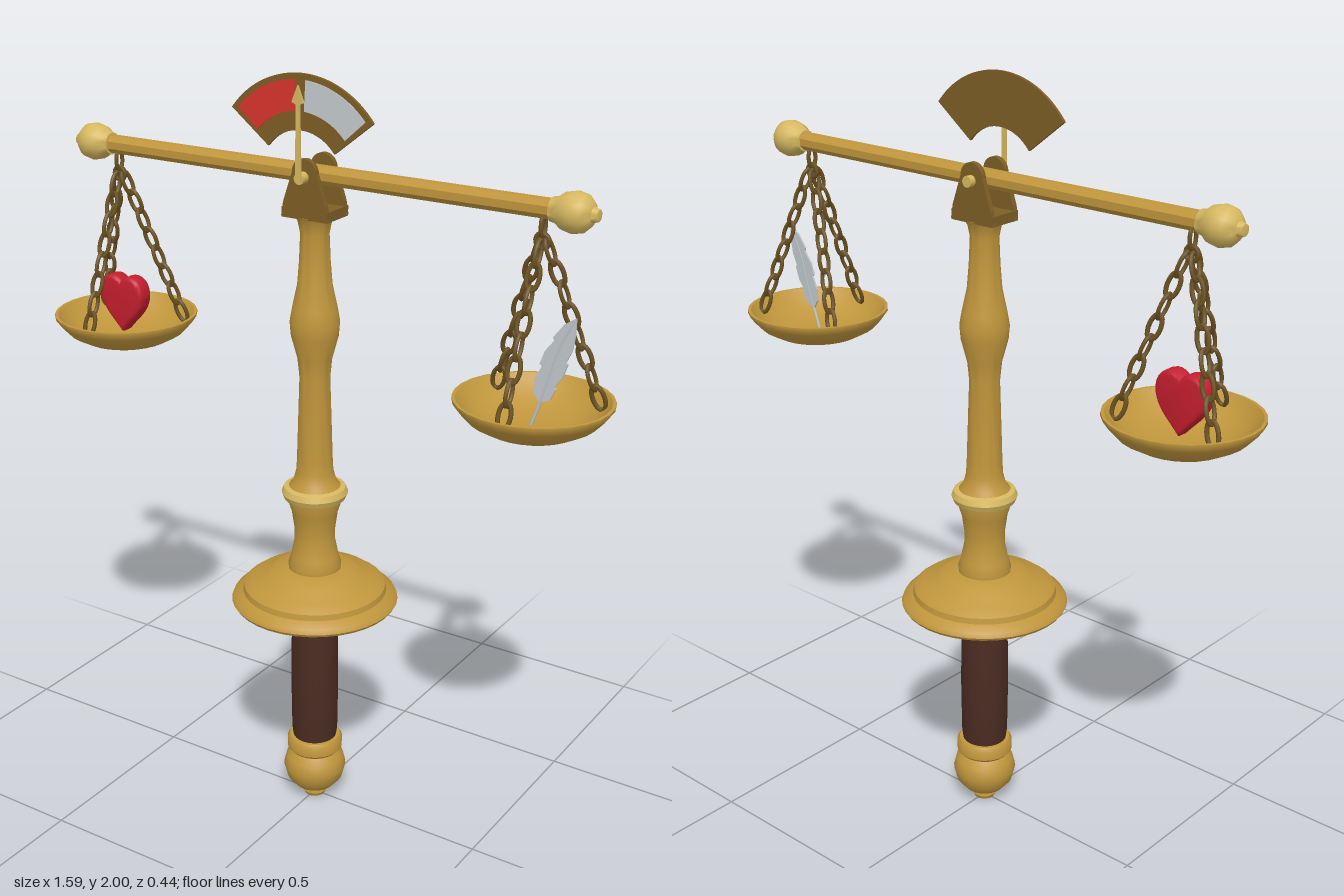
import * as THREE from 'three';
import { toCreasedNormals } from 'three/addons/utils/BufferGeometryUtils.js';

const mat = (name, color, extra = {}) => {
  const m = new THREE.MeshStandardMaterial({ color, ...extra });
  m.name = name;
  return m;
};

export function createModel() {
  const root = new THREE.Group();
  root.name = 'balanceScale';
  const gold = mat('gold', 0xc0963c);
  const paleGold = mat('pale gold', 0xd6b860);
  const bronze = mat('dark bronze', 0x7d5e25);
  const iron = mat('chain bronze', 0x6b5222);
  const leather = mat('dark leather', 0x4a2c22);
  const red = mat('dial red', 0xd8342c);
  const silver = mat('dial silver', 0xc4cace);
  const crimson = mat('heart crimson', 0xc41e2e);
  const plume = mat('feather grey', 0xc0c8cc, { side: THREE.DoubleSide });

  const add = (name, geo, material, parent = root, x = 0, y = 0, z = 0) => {
    const m = new THREE.Mesh(geo, material);
    m.name = name;
    m.position.set(x, y, z);
    parent.add(m);
    return m;
  };
  const lathe = (pts, seg = 28) => toCreasedNormals(
    new THREE.LatheGeometry(pts.map(([r, y]) => new THREE.Vector2(r, y)), seg), 0.65);
  const plate = (shape, depth) => new THREE.ExtrudeGeometry(
    shape, { depth, bevelEnabled: false, curveSegments: 20 });

  // Handle: pommel, collars and leather grip
  add('pommel', lathe([[0, 0.005], [0.028, 0.005], [0.033, 0.015], [0.03, 0.028], [0.055, 0.04],
    [0.076, 0.065], [0.085, 0.1], [0.078, 0.13], [0.06, 0.152], [0.05, 0.16]]), gold);
  const collar = [[0.05, -0.022], [0.068, -0.022], [0.075, -0.014], [0.075, 0.012], [0.068, 0.022], [0.05, 0.022]];
  add('lowerCollar', lathe(collar), gold, root, 0, 0.174);
  add('upperCollar', lathe(collar), gold, root, 0, 0.578);
  add('grip', lathe([[0.058, 0.19], [0.062, 0.22], [0.064, 0.37], [0.062, 0.53], [0.06, 0.56]]), leather);

  // Guard
  add('guard', lathe([[0.05, 0.595], [0.06, 0.612], [0.215, 0.612], [0.22, 0.62], [0.215, 0.631],
    [0.19, 0.645], [0.187, 0.66], [0.165, 0.676], [0.125, 0.69], [0.108, 0.704], [0.07, 0.71]], 36), gold);

  // Column with a pale ring
  add('column', lathe([[0.068, 0.7], [0.07, 0.72], [0.062, 0.745], [0.053, 0.79], [0.053, 0.82],
    [0.06, 0.87], [0.073, 0.91], [0.07, 0.94], [0.056, 0.955], [0.048, 0.985], [0.046, 1.02],
    [0.039, 1.24], [0.044, 1.29], [0.06, 1.35], [0.063, 1.385], [0.057, 1.42], [0.044, 1.48],
    [0.039, 1.54], [0.036, 1.61], [0.042, 1.64], [0.05, 1.655], [0, 1.655]]), gold);
  add('columnRing', lathe([[0.06, 0.905], [0.08, 0.91], [0.086, 0.925], [0.08, 0.94], [0.06, 0.945]]), paleGold);

  // Yoke that carries the beam
  const cheek = new THREE.Shape();
  cheek.moveTo(-0.066, 1.655);
  cheek.lineTo(0.066, 1.655);
  cheek.lineTo(0.06, 1.69);
  cheek.lineTo(0.034, 1.765);
  cheek.absarc(0, 1.765, 0.034, 0, Math.PI, false);
  cheek.lineTo(-0.06, 1.69);
  const yoke = new THREE.Group();
  yoke.name = 'yoke';
  root.add(yoke);
  add('yokeBase', new THREE.BoxGeometry(0.13, 0.025, 0.096), bronze, yoke, 0, 1.664);
  for (const z of [-0.048, 0.034]) add('yokeCheek', plate(cheek, 0.014), bronze, yoke, 0, 0, z);
  const axle = add('axle', new THREE.CylinderGeometry(0.014, 0.014, 0.135, 16), paleGold, yoke, 0, 1.755, 0.003);
  axle.rotation.x = Math.PI / 2;

  // Beam with turned end knobs
  const beam = add('beam', toCreasedNormals(new THREE.CylinderGeometry(0.024, 0.024, 1.3, 8), 0.3),
    gold, root, 0, 1.755);
  beam.rotation.set(Math.PI / 8, 0, Math.PI / 2);
  for (const s of [-1, 1]) {
    const knob = add('beamKnob', lathe([[0, -0.055], [0.028, -0.055], [0.03, -0.042], [0.042, -0.026], [0.048, 0],
      [0.043, 0.024], [0.028, 0.04], [0.018, 0.044], [0.014, 0.057], [0, 0.06]], 20), paleGold, root, s * 0.68, 1.755);
    knob.rotation.z = -s * Math.PI / 2;
  }

  // Dial: annular sector, two colour panels and needle
  const sector = (r0, r1, a0, a1) => {
    const s = new THREE.Shape();
    const t0 = Math.PI / 2 + a0, t1 = Math.PI / 2 + a1;
    s.absarc(0, 0, r1, t0, t1, false);
    s.absarc(0, 0, r0, t1, t0, true);
    return s;
  };
  const dial = new THREE.Group();
  dial.name = 'dial';
  dial.position.set(0, 1.75, 0.052);
  root.add(dial);
  add('dialPlate', plate(sector(0.118, 0.25, -0.91, 0.91), 0.008), bronze, dial);
  add('dialRedPanel', plate(sector(0.163, 0.236, 0.06, 0.85), 0.002), red, dial, 0, 0, 0.008);
  add('dialSilverPanel', plate(sector(0.163, 0.236, -0.85, -0.06), 0.002), silver, dial, 0, 0, 0.008);
  const needle = new THREE.Shape([[-0.008, 0], [0.008, 0], [0.005, 0.18], [0.017, 0.185],
    [0, 0.225], [-0.017, 0.185], [-0.005, 0.18]].map(p => new THREE.Vector2(...p)));
  add('needle', plate(needle, 0.005), paleGold, dial, 0, 0, 0.017);

  // Chain links: oval wire loops
  const loop = (w, h) => {
    const pts = [];
    for (let i = 0; i < 12; i++) {
      const a = i / 12 * Math.PI * 2;
      pts.push(new THREE.Vector3(Math.cos(a) * w, Math.sin(a) * h, 0));
    }
    return new THREE.TubeGeometry(new THREE.CatmullRomCurve3(pts, true), 18, 0.0055, 6, true);
  };
  const linkGeo = loop(0.0155, 0.032);
  const hookGeo = loop(0.012, 0.026);
  const ringGeo = new THREE.TorusGeometry(0.017, 0.006, 6, 16);
  const LINKS = 8;
  const chain = (from, to, parent) => {
    const g = new THREE.Group();
    g.name = 'chain';
    const dir = to.clone().sub(from);
    g.position.copy(from);
    g.quaternion.setFromUnitVectors(new THREE.Vector3(0, 1, 0), dir.clone().negate().normalize());
    for (let i = 0; i < LINKS; i++) {
      const l = add('chainLink', linkGeo, iron, g, 0, -dir.length() * (i + 0.5) / LINKS, 0);
      l.rotation.y = i % 2 ? 0 : Math.PI / 2;
    }
    parent.add(g);
  };

  // Hanging pans
  const panGeo = lathe([[0, 1.222], [0.07, 1.224], [0.115, 1.234], [0.155, 1.256], [0.178, 1.281], [0.19, 1.298],
    [0.19, 1.305], [0.182, 1.305], [0.165, 1.284], [0.14, 1.262], [0.105, 1.245], [0.06, 1.236], [0, 1.234]], 28);
  for (const s of [-1, 1]) {
    const p = new THREE.Group();
    p.name = s < 0 ? 'rightPan' : 'leftPan';
    p.position.x = s * 0.605;
    root.add(p);
    add('panBowl', panGeo, gold, p);
    add('hook', hookGeo, iron, p, 0, 1.715).rotation.y = Math.PI / 2;
    add('hangingRing', ringGeo, iron, p, 0, 1.68);
    for (let k = 0; k < 3; k++) {
      const a = Math.PI / 2 + k * Math.PI * 2 / 3;
      const c = Math.cos(a), n = Math.sin(a);
      chain(new THREE.Vector3(c * 0.01, 1.68, n * 0.01), new THREE.Vector3(c * 0.158, 1.285, n * 0.158), p);
    }
  }

  // Heart resting in the right pan
  const h = new THREE.Shape();
  h.moveTo(0, -0.07);
  h.bezierCurveTo(-0.02, -0.045, -0.06, -0.02, -0.06, 0.022);
  h.bezierCurveTo(-0.06, 0.068, -0.008, 0.072, 0, 0.034);
  h.bezierCurveTo(0.008, 0.072, 0.06, 0.068, 0.06, 0.022);
  h.bezierCurveTo(0.06, -0.02, 0.02, -0.045, 0, -0.07);
  const heartGeo = toCreasedNormals(new THREE.ExtrudeGeometry(h, {
    depth: 0.026, bevelEnabled: true, bevelThickness: 0.012, bevelSize: 0.01, bevelSegments: 3, curveSegments: 10,
  }), 0.8);
  add('heart', heartGeo, crimson, root, -0.605, 1.338, -0.013);

  // Feather standing in the left pan, with notched vanes and a quill
  const feather = new THREE.Group();
  feather.name = 'feather';
  feather.position.set(0.605, 1.25, 0);
  feather.rotation.z = -0.3;
  root.add(feather);
  const vane = new THREE.Shape([[0, 0.05], [0.022, 0.07], [0.026, 0.1], [0.021, 0.104], [0.031, 0.135],
    [0.032, 0.17], [0.026, 0.174], [0.03, 0.205], [0.025, 0.24], [0.012, 0.283], [-0.01, 0.255], [-0.024, 0.215],
    [-0.019, 0.208], [-0.031, 0.175], [-0.032, 0.14], [-0.025, 0.137], [-0.03, 0.1], [-0.02, 0.068]]
    .map(p => new THREE.Vector2(...p)));
  add('featherVane', plate(vane, 0.005), plume, feather, 0, 0, -0.0025);
  const quill = new THREE.CatmullRomCurve3([[0, -0.01, 0], [0.002, 0.1, 0], [0, 0.2, 0], [0.01, 0.275, 0]]
    .map(p => new THREE.Vector3(...p)));
  add('featherQuill', new THREE.TubeGeometry(quill, 12, 0.004, 6), plume, feather);

  return root;
}
